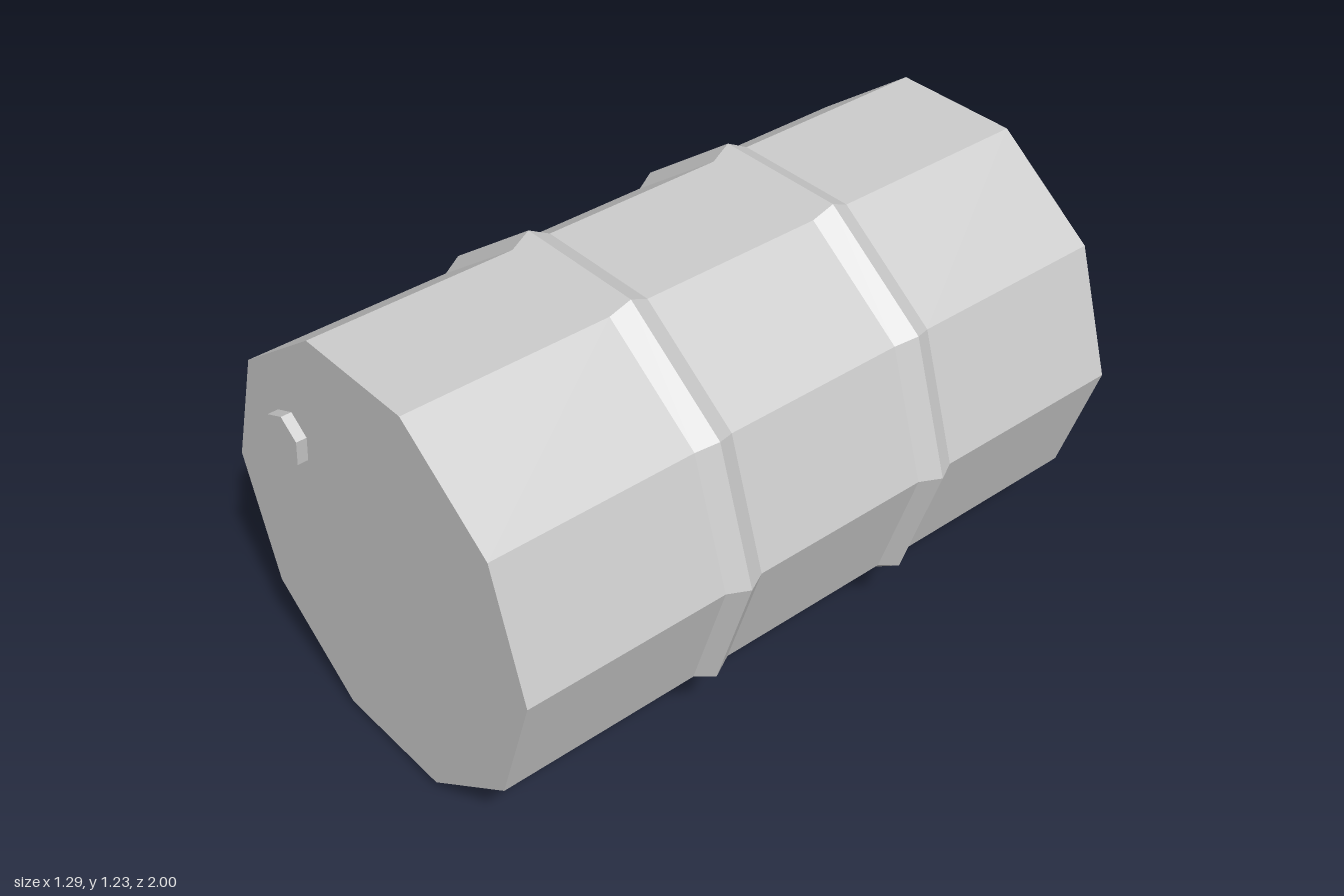
import * as THREE from 'three';

const SIDES = 10;
const BODY_R = 0.615, RIDGE_R = 0.645, CENTER_Y = 0.615;
const BACK_Z = -1, FRONT_Z = 0.97;
const RIDGES = [-0.342, 0.316], RIDGE_HALF = 0.058;

export function createModel() {
  const group = new THREE.Group();
  group.name = 'barrel';
  const material = new THREE.MeshStandardMaterial({ color: 0xcccccc, flatShading: true });

  // Barrel shell: closed profile along the axis with two pointed ridges
  const profile = [[0, BACK_Z], [BODY_R, BACK_Z]];
  for (const z of RIDGES) {
    profile.push([BODY_R, z - RIDGE_HALF], [RIDGE_R, z], [BODY_R, z + RIDGE_HALF]);
  }
  profile.push([BODY_R, FRONT_Z], [0, FRONT_Z]);
  const points = profile.map(([r, z]) => new THREE.Vector2(r, z));

  // Starting a quarter turn round puts corners at the sides and flats at top and bottom
  const shell = new THREE.LatheGeometry(points, SIDES, Math.PI / 2).rotateX(Math.PI / 2);
  const body = new THREE.Mesh(shell, material);
  body.name = 'barrelBody';
  body.position.y = CENTER_Y;
  group.add(body);

  // Small hexagonal bung on the front lid, slightly turned
  const bungGeometry = new THREE.CylinderGeometry(0.074, 0.074, 0.03, 6)
    .rotateX(Math.PI / 2)
    .rotateZ(-0.1);
  const bung = new THREE.Mesh(bungGeometry, material);
  bung.name = 'bung';
  bung.position.set(-0.318, 0.849, FRONT_Z + 0.015);
  group.add(bung);

  return group;
}
